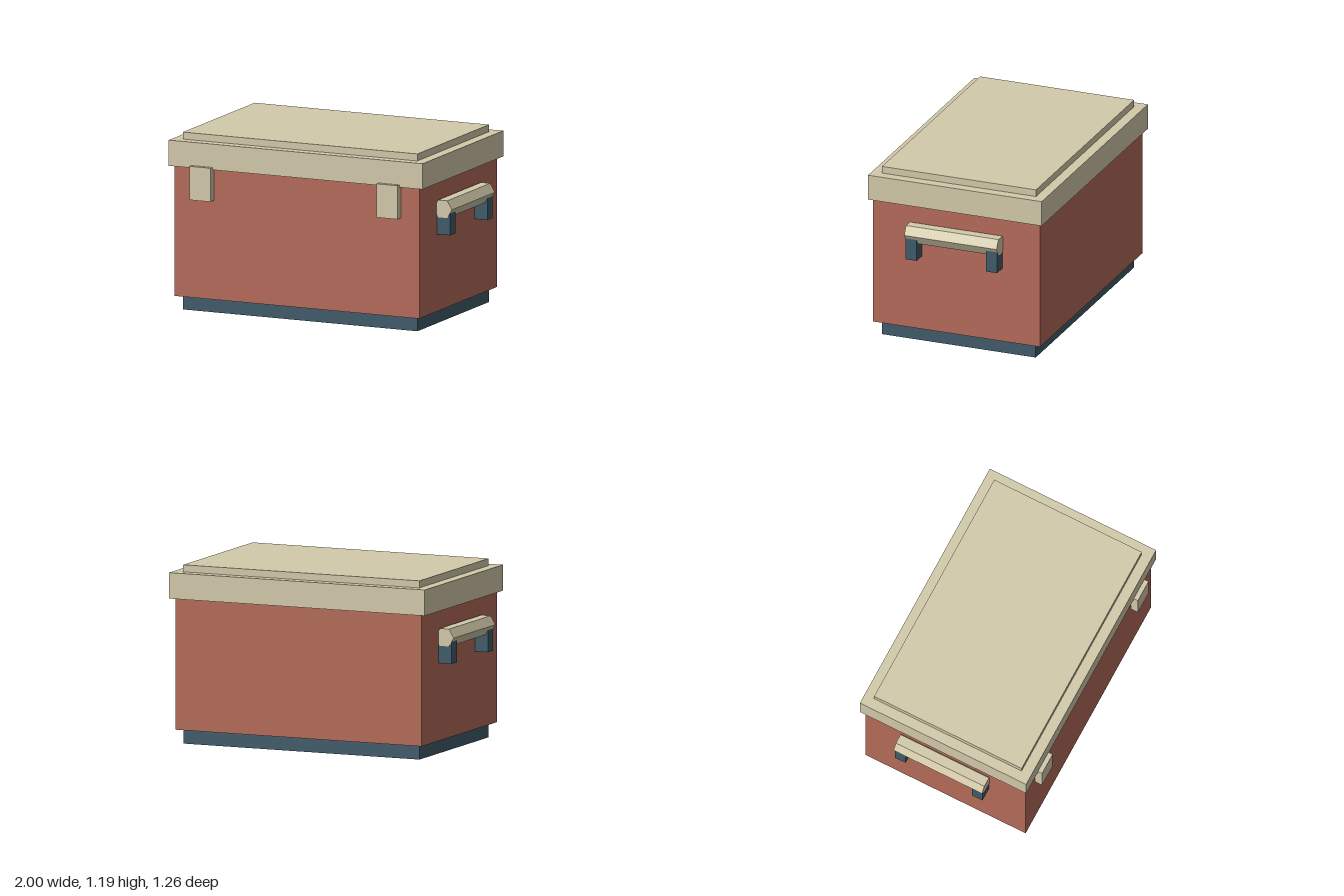
import * as THREE from 'three';

const material = (name, color) => {
  const m = new THREE.MeshStandardMaterial({ color });
  m.name = name;
  return m;
};

export function createModel() {
  const cream = material('cream', 0xd3caaa);
  const red = material('brick red', 0xb46b59);
  const blue = material('slate blue', 0x405c6a);

  const model = new THREE.Group();
  model.name = 'coolBox';

  // Box given by its extents on each axis
  function box(name, mat, [x0, x1], [y0, y1], [z0, z1], parent = model) {
    const mesh = new THREE.Mesh(new THREE.BoxGeometry(x1 - x0, y1 - y0, z1 - z0), mat);
    mesh.position.set((x0 + x1) / 2, (y0 + y1) / 2, (z0 + z1) / 2);
    mesh.name = name;
    parent.add(mesh);
    return mesh;
  }

  // Plinth, body and stepped lid
  box('base', blue, [-0.853, 0.853], [0, 0.096], [-0.56, 0.53]);
  box('body', red, [-0.89, 0.89], [0.096, 0.968], [-0.606, 0.579]);
  box('lid', cream, [-0.923, 0.923], [0.968, 1.14], [-0.631, 0.6]);
  box('lidPanel', cream, [-0.853, 0.853], [1.14, 1.187], [-0.562, 0.53]);

  for (const side of [-1, 1]) {
    const label = side > 0 ? 'left' : 'right';
    const span = (a, b) => (side > 0 ? [a, b] : [-b, -a]);

    // Front latch overlapping the lid edge
    box(label + 'Latch', cream, span(0.605, 0.757), [0.759, 0.984], [0.57, 0.631]);

    // Side handle: hexagonal grip on two brackets
    const handle = new THREE.Group();
    handle.name = label + 'Handle';
    model.add(handle);
    const gripGeo = new THREE.CylinderGeometry(0.067, 0.067, 0.655, 6);
    gripGeo.rotateY(Math.PI / 6).rotateX(Math.PI / 2);
    // Put hexagon corners on the x axis
    gripGeo.rotateZ(0);
    const flat = gripGeo.toNonIndexed();
    flat.computeVertexNormals();
    const grip = new THREE.Mesh(flat, cream);
    grip.name = 'grip';
    grip.position.set(side * 0.933, 0.786, -0.0145);
    handle.add(grip);
    box('frontBracket', blue, span(0.88, 0.985), [0.613, 0.785], [0.23, 0.309], handle);
    box('backBracket', blue, span(0.88, 0.985), [0.613, 0.785], [-0.34, -0.26], handle);
  }
  return model;
}
